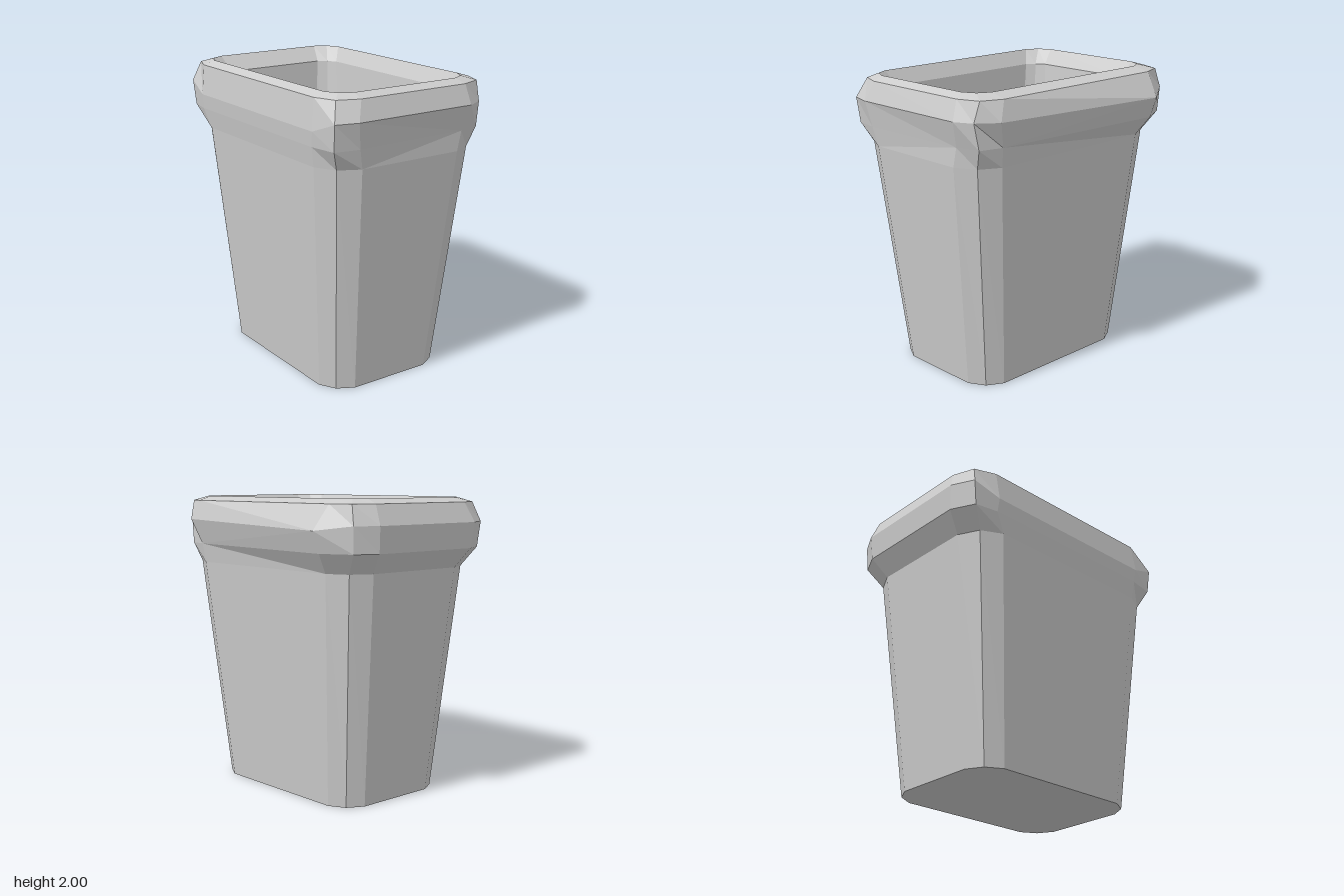
import * as THREE from 'three';

const V = (x, y, z) => new THREE.Vector3(x, y, z);

// Twelve-point rounded rectangle: side end, corner middle and side end at each corner
function ring(y, x0, x1, z0, z1, c, d) {
  return [
    V(x1, y, z1 - c), V(x1 - d, y, z1 - d), V(x1 - c, y, z1),
    V(x0 + c, y, z1), V(x0 + d, y, z1 - d), V(x0, y, z1 - c),
    V(x0, y, z0 + c), V(x0 + d, y, z0 + d), V(x0 + c, y, z0),
    V(x1 - c, y, z0), V(x1 - d, y, z0 + d), V(x1, y, z0 + c),
  ];
}

// Ring with hand-set outline, as [x, z] pairs with an optional own height
const bentRing = (y, pts) => pts.map(([x, z, h]) => V(x, h ?? y, z));

function toMesh(name, points) {
  const geometry = new THREE.BufferGeometry().setFromPoints(points);
  geometry.computeVertexNormals();
  const mesh = new THREE.Mesh(geometry, new THREE.MeshStandardMaterial({
    color: 0xcccccc, flatShading: true, side: THREE.DoubleSide,
  }));
  mesh.name = name;
  return mesh;
}

// Skin between successive rings; flips[k] lists the sides of band k with the other diagonal
function loft(name, rings, flips = {}) {
  const out = [];
  for (let k = 0; k + 1 < rings.length; k++) {
    const lo = rings[k], hi = rings[k + 1], n = lo.length;
    for (let i = 0; i < n; i++) {
      const j = (i + 1) % n;
      if (flips[k]?.includes(i)) out.push(lo[i], hi[i], lo[j], hi[i], hi[j], lo[j]);
      else out.push(lo[i], hi[i], hi[j], lo[i], hi[j], lo[j]);
    }
  }
  return toMesh(name, out);
}

// Flat fan closing a ring, facing up or down
function cap(name, pts, up) {
  const out = [];
  for (let i = 1; i + 1 < pts.length; i++) {
    out.push(pts[0], ...(up ? [pts[i + 1], pts[i]] : [pts[i], pts[i + 1]]));
  }
  return toMesh(name, out);
}

export function createModel() {
  const model = new THREE.Group();
  model.name = 'bin';

  const base = ring(0, -0.52, 0.40, -0.65, 0.70, 0.17, 0.06);
  const shoulder = ring(1.54, -0.64, 0.53, -0.81, 0.87, 0.21, 0.07);

  // Dented collar: unevenly flared under the rim
  const collar = bentRing(1.67, [
    [0.55, 0.67], [0.51, 0.83], [0.35, 0.87],
    [-0.46, 0.89], [-0.63, 0.86], [-0.66, 0.67],
    [-0.66, -0.67], [-0.63, -0.83], [-0.47, -0.91],
    [0.37, -0.91], [0.52, -0.84], [0.62, -0.64],
  ]);
  const bulge = bentRing(1.84, [
    [0.60, 0.73], [0.50, 0.86], [0.38, 0.92],
    [-0.49, 0.92], [-0.64, 0.88], [-0.67, 0.69, 1.77],
    [-0.67, -0.66, 1.77], [-0.64, -0.85], [-0.49, -0.925],
    [0.38, -0.925], [0.53, -0.85], [0.67, -0.64, 1.81],
  ]);

  // Rounded lip and hollow inside
  const lipOuter = ring(1.97, -0.645, 0.565, -0.87, 0.875, 0.2, 0.055);
  const lipTop = ring(2, -0.58, 0.465, -0.77, 0.81, 0.13, 0.045);
  const lipInner = ring(1.9, -0.525, 0.41, -0.685, 0.725, 0.1, 0.04);
  const floor = ring(0.1, -0.45, 0.335, -0.56, 0.60, 0.17, 0.06);

  model.add(
    loft('outerWall', [base, shoulder]),
    loft('rim', [shoulder, collar, bulge, lipOuter, lipTop, lipInner], { 0: [2], 1: [11] }),
    loft('innerWall', [lipInner, floor]),
    cap('innerFloor', floor, true),
    cap('underside', base, false),
  );
  return model;
}
